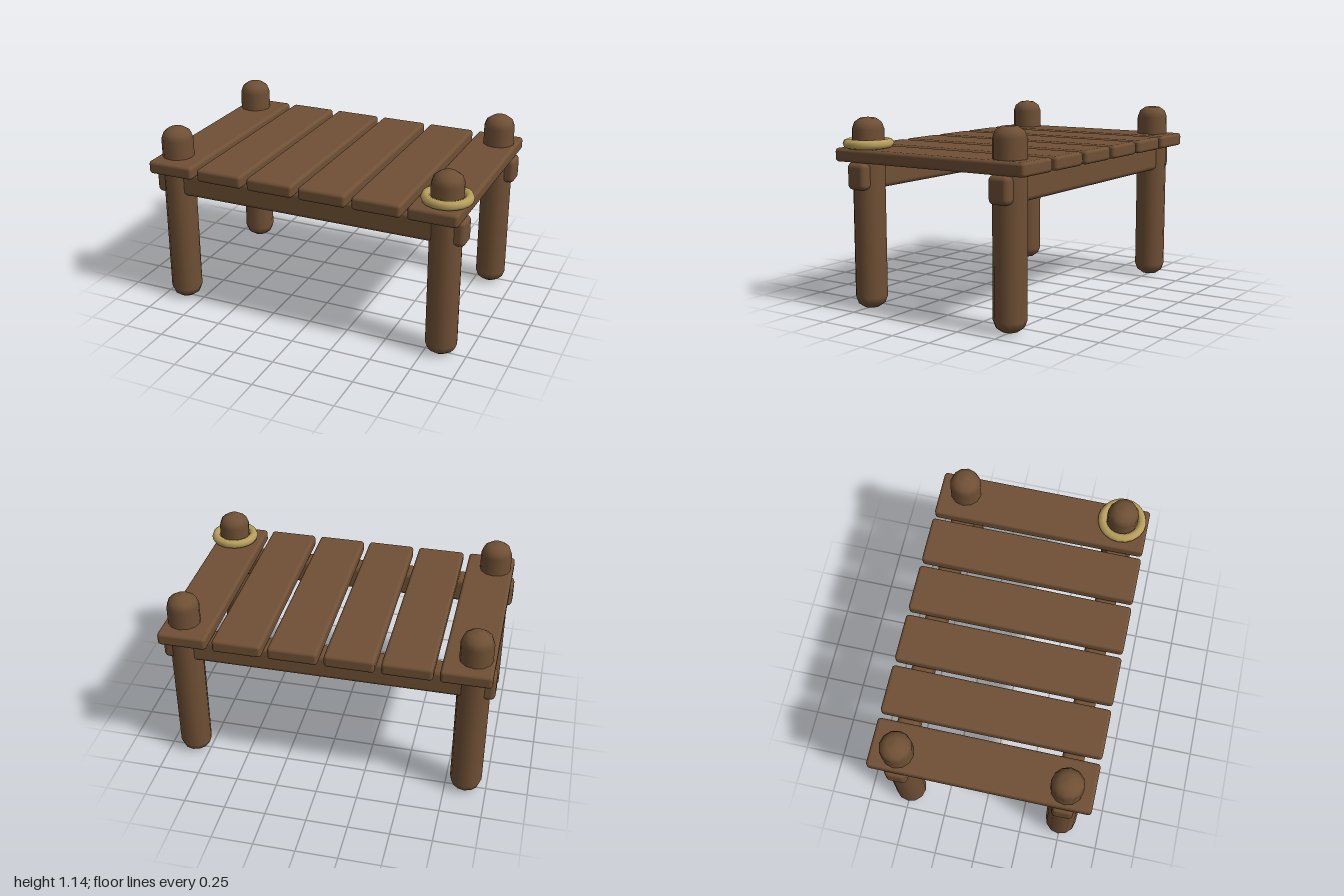
import * as THREE from 'three';
import { RoundedBoxGeometry } from 'three/addons/geometries/RoundedBoxGeometry.js';

const wood = new THREE.MeshStandardMaterial({ color: 0x6f5035 });
wood.name = 'brown wood';
const rope = new THREE.MeshStandardMaterial({ color: 0xb89f5c });
rope.name = 'straw rope';

const POST_X = [-0.873, 0.843];
const POST_Z = [-0.495, 0.495];

export function createModel() {
  const dock = new THREE.Group();
  dock.name = 'dock';

  function add(name, geometry, material, x, y, z) {
    const mesh = new THREE.Mesh(geometry, material);
    mesh.name = name;
    mesh.position.set(x, y, z);
    dock.add(mesh);
    return mesh;
  }

  // Round posts with domed ends
  const half = 0.568;
  const dome = [[0, half], [0.047, half - 0.006], [0.081, half - 0.03], [0.096, half - 0.07]];
  const profile = [
    ...dome.map(([r, y]) => new THREE.Vector2(r, -y)),
    ...dome.slice().reverse().map(([r, y]) => new THREE.Vector2(r, y)),
  ];
  const postGeometry = new THREE.LatheGeometry(profile, 12);
  for (const x of POST_X) {
    for (const z of POST_Z) add('post', postGeometry, wood, x, half + 0.006, z);
  }

  // Long beams running through the posts
  const beamGeometry = new RoundedBoxGeometry(1.97, 0.16, 0.13, 3, 0.03);
  for (const z of POST_Z) add('beam', beamGeometry, wood, -0.015, 0.803, z);

  // Deck planks
  const plankGeometry = new RoundedBoxGeometry(0.293, 0.08, 1.316, 3, 0.02);
  for (let i = 0; i < 6; i++) add('plank', plankGeometry, wood, -0.838 + i * 0.33, 0.921, 0);

  // Rope ring around the front left post
  const ring = add('ropeRing', new THREE.TorusGeometry(0.122, 0.028, 8, 20), rope, POST_X[1], 0.988, POST_Z[1]);
  ring.rotation.x = -Math.PI / 2;

  return dock;
}
